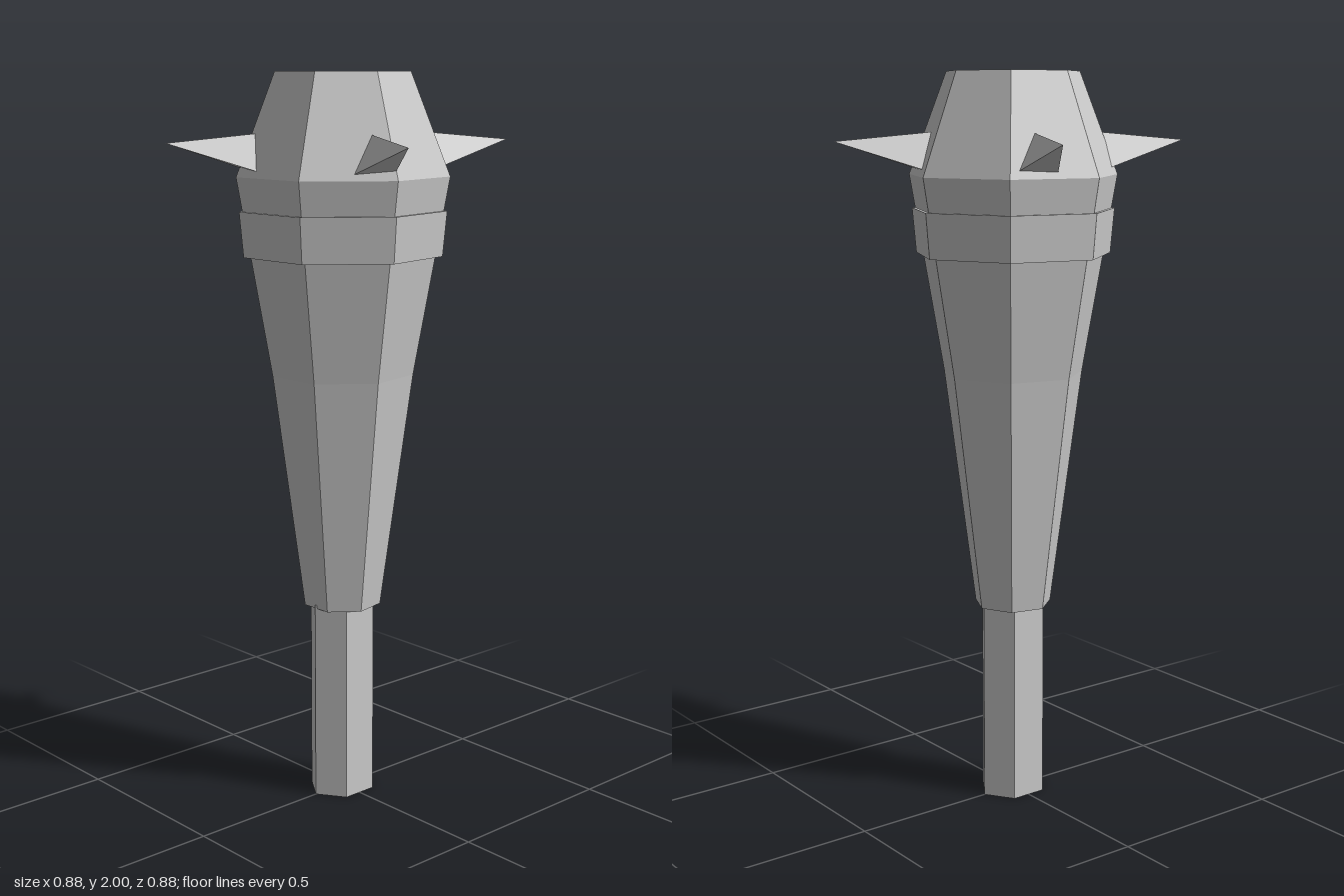
import * as THREE from 'three';

export function createModel() {
  const group = new THREE.Group();
  const grey = new THREE.MeshStandardMaterial({ color: 0xcccccc, flatShading: true });
  grey.name = 'grey';

  const add = (name, geometry) => {
    const mesh = new THREE.Mesh(geometry, grey);
    mesh.name = name;
    group.add(mesh);
    return mesh;
  };

  // Seven-sided turned solid with a corner on +x; profile is [radius, y] from the bottom up
  const turned = (profile) =>
    new THREE.LatheGeometry(profile.map(([r, y]) => new THREE.Vector2(r, y)), 7, Math.PI / 2);

  // Handle: slightly flattened hexagonal grip
  const handle = new THREE.CylinderGeometry(0.1, 0.1, 0.56, 6, 1, false, Math.PI / 2);
  handle.scale(1, 1, 0.86).translate(0, 0.28, 0);
  add('handle', handle);

  // Club body, flaring upward and chamfered at the head
  add('clubBody', turned([
    [0, 0.55], [0.107, 0.55], [0.194, 1.2], [0.288, 1.73], [0.182, 2], [0, 2],
  ]));

  // Band around the body, below the head
  add('band', turned([[0.235, 1.52], [0.27, 1.52], [0.281, 1.64], [0.235, 1.64]]));

  // Four three-sided spikes, one ridge up, tips leaning slightly upward
  const length = 0.277, lean = 0.051 / length;
  const spike = new THREE.ConeGeometry(0.076, length, 3, 1, false, -Math.PI / 2);
  spike.rotateZ(-Math.PI / 2).translate(length / 2, 0, 0);
  spike.applyMatrix4(new THREE.Matrix4().set(
    1, 0, 0, 0,
    lean, 1, 0, 0,
    0, 0, 1, 0,
    0, 0, 0, 1,
  ));
  spike.translate(0.2, 1.769, 0);
  for (let i = 0; i < 4; i++) {
    add('spike' + (i + 1), spike).rotation.y = -0.398 + i * Math.PI / 2;
  }

  return group;
}
